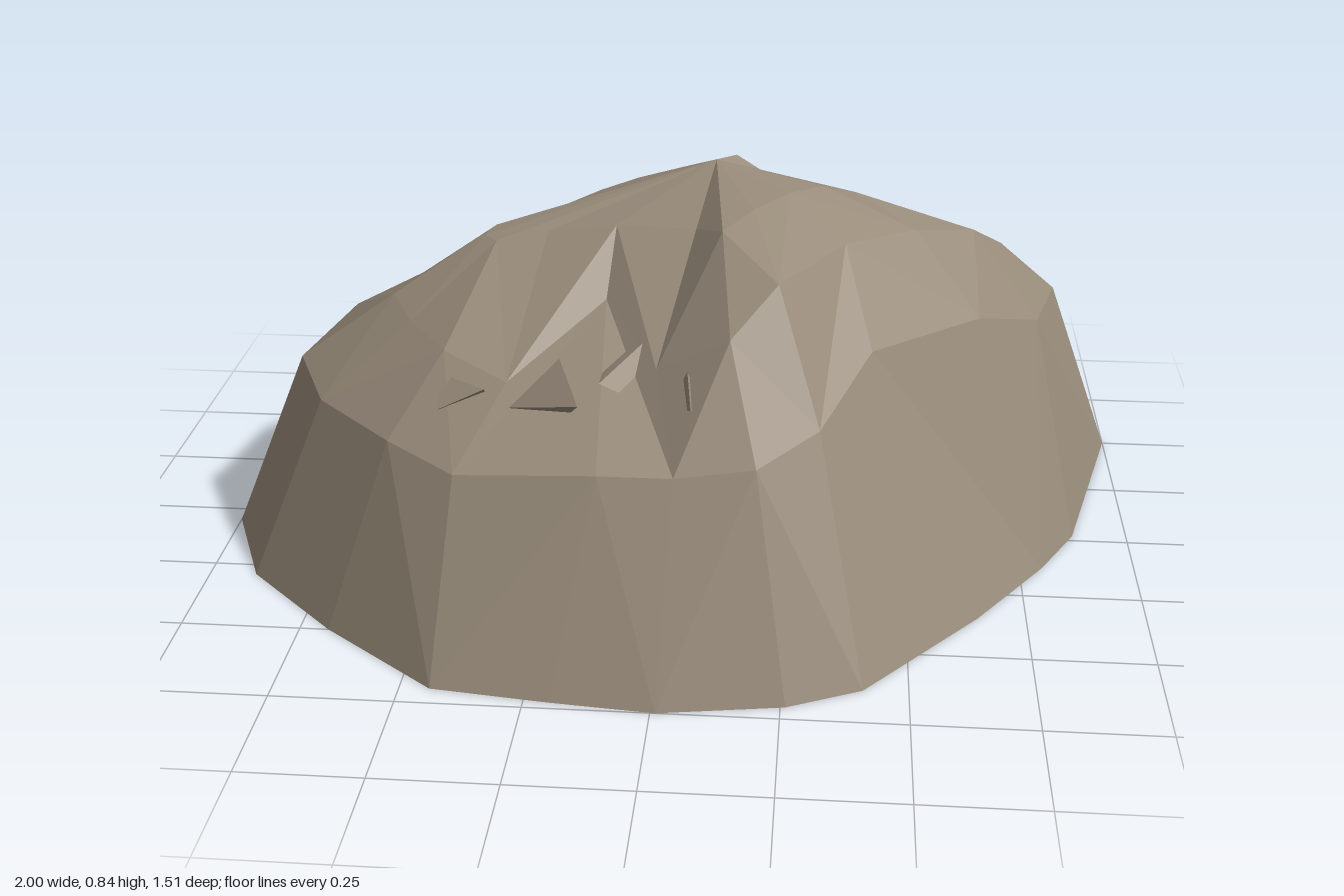
import * as THREE from 'three';

// Ground outline [x, z], running left -> front -> right -> back
const FOOT = [
  [-1, .05], [-.9, .29], [-.69, .5], [-.44, .7], [-.2, .73], [.01, .75], [.26, .71],
  [.41, .64], [.65, .35], [.8, .13], [.88, -.02], [1, -.5], [.7, -.61], [.4, -.7],
  [.2, -.74], [-.12, -.76], [-.43, -.71], [-.65, -.57], [-.78, -.47], [-.9, -.31],
];
// Upper edge of the steep side walls
const RIM = [
  [-.83, .41, .04], [-.74, .4, .24], [-.56, .4, .42], [-.41, .38, .52], [-.12, .41, .56],
  [.03, .41, .56], [.19, .43, .55], [.31, .47, .45], [.41, .56, .26], [.64, .54, .02],
  [.78, .47, -.15], [.84, .44, -.42], [.62, .43, -.51], [.37, .42, -.55], [.15, .42, -.575],
  [-.1, .42, -.585], [-.38, .42, -.56], [-.55, .42, -.46], [-.66, .42, -.38], [-.77, .42, -.24],
];
// Shoulder of the dome; the front points drop into the broken hollow
const SHOULDER = [
  [-.62, .56, .03], [-.56, .55, .15], [-.46, .55, .3], [-.32, .52, .38], [-.14, .62, .17],
  [-.02, .55, .36], [.13, .64, .41], [.22, .72, .31], [.35, .73, .1], [.5, .71, -.05],
  [.63, .67, -.17], [.7, .6, -.28], [.47, .6, -.36], [.3, .63, -.36], [.13, .64, -.36],
  [-.05, .64, -.36], [-.25, .61, -.36], [-.4, .59, -.28], [-.5, .57, -.2], [-.58, .56, -.1],
];
// Crown ring; the front points form the lip above the hollow
const CROWN = [
  [-.4, .7, -.04], [-.42, .69, 0], [-.39, .69, .03], [-.28, .71, .02], [-.13, .74, .05],
  [.04, .75, .09], [.1, .78, .18], [.16, .8, .1], [.23, .81, .02], [.3, .8, -.06],
  [.37, .76, -.14], [.36, .735, -.18], [.27, .74, -.19], [.18, .78, -.18], [.11, .83, -.165],
  [0, .79, -.2], [-.11, .75, -.23], [-.19, .73, -.2], [-.26, .71, -.16], [-.33, .7, -.1],
];
const PEAK = [.07, .84, -.1];

function facetGeometry(triangles) {
  const g = new THREE.BufferGeometry();
  g.setAttribute('position', new THREE.Float32BufferAttribute(triangles.flat(2), 3));
  g.computeVertexNormals();
  return g;
}

export function createModel() {
  const group = new THREE.Group();
  group.name = 'rock';
  const stone = new THREE.MeshStandardMaterial({ color: 0x988b7a, flatShading: true });
  stone.name = 'brown grey stone';
  const n = FOOT.length;

  const add = (name, geometry) => {
    const mesh = new THREE.Mesh(geometry, stone);
    mesh.name = name;
    group.add(mesh);
    return mesh;
  };

  // Facets between two rings, with alternating diagonals
  const band = (low, high) => low.flatMap((a, i) => {
    const b = low[(i + 1) % n], c = high[(i + 1) % n], d = high[i];
    return i % 2 ? [[a, b, c], [a, c, d]] : [[a, b, d], [b, c, d]];
  });
  const fan = (ring, tip) => ring.map((a, i) => [a, ring[(i + 1) % n], tip]);

  const foot = FOOT.map(([x, z]) => [x, 0, z]);
  add('sideWalls', facetGeometry(band(foot, RIM)));
  add('dome', facetGeometry([
    ...band(RIM, SHOULDER), ...band(SHOULDER, CROWN), ...fan(CROWN, PEAK),
  ]));
  add('underside', facetGeometry(fan([...foot].reverse(), [0, 0, 0])));

  // Broken chips half sunk into the hollow
  const chips = [
    [-.41, .49, .37, .06], [-.23, .49, .39, .08], [-.09, .53, .33, .07], [.05, .51, .42, .06],
  ];
  chips.forEach(([x, y, z, size], i) => {
    const chip = add('chip', new THREE.TetrahedronGeometry(size));
    chip.position.set(x, y, z);
    chip.rotation.set(i * 1.3, i * .8, i * .5);
    chip.scale.set(1.4, .7, 1);
  });
  return group;
}
